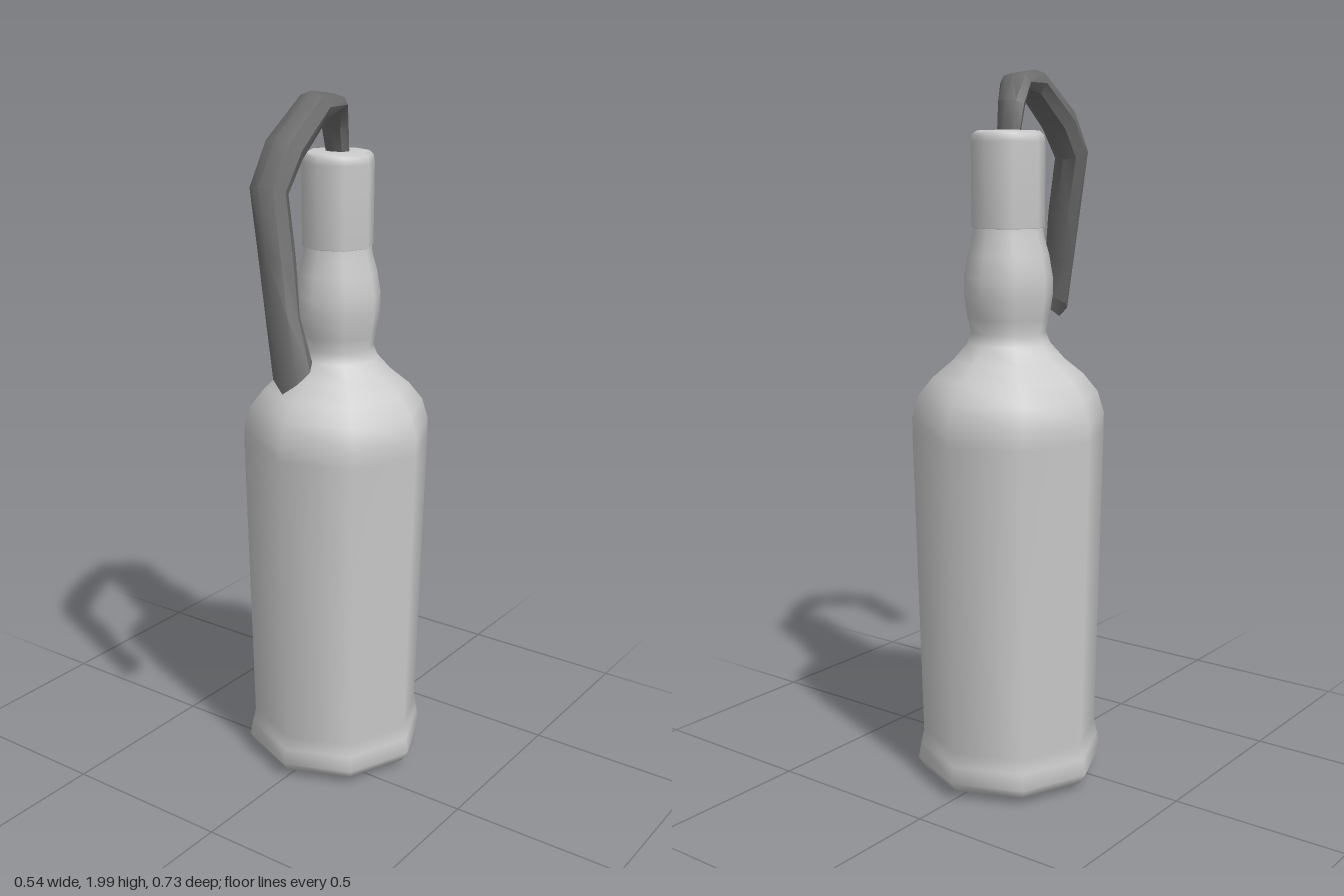
import * as THREE from 'three';
import { toCreasedNormals } from 'three/addons/utils/BufferGeometryUtils.js';

const SIDES = 8;
const AXIS_Z = -0.1;

function lathe(name, profile, material) {
  const points = profile.map(([r, y]) => new THREE.Vector2(r, y));
  const mesh = new THREE.Mesh(new THREE.LatheGeometry(points, SIDES), material);
  mesh.name = name;
  mesh.position.z = AXIS_Z;
  return mesh;
}

// Open tube of flattened rings: each row is [x, y, z, half width, half thickness]
function ragGeometry(rows, tear) {
  const positions = [], index = [];
  const n = tear.length;
  rows.forEach(([x, y, z, w, t], j) => {
    const a = rows[Math.max(j - 1, 0)], b = rows[Math.min(j + 1, rows.length - 1)];
    const dy = b[1] - a[1], dz = b[2] - a[2], len = Math.hypot(dy, dz);
    for (let i = 0; i < n; i++) {
      const angle = (i / n) * Math.PI * 2;
      const s = Math.sin(angle) * t;
      const drop = j === rows.length - 1 ? tear[i] : 0;
      positions.push(x + Math.cos(angle) * w, y + (s * dz) / len - drop, z - (s * dy) / len);
      if (j < rows.length - 1) {
        const p = j * n + i, q = j * n + ((i + 1) % n);
        index.push(p, q, p + n, q, q + n, p + n);
      }
    }
  });
  const geometry = new THREE.BufferGeometry();
  geometry.setAttribute('position', new THREE.Float32BufferAttribute(positions, 3));
  geometry.setIndex(index);
  return toCreasedNormals(geometry, 0.75);
}

export function createModel() {
  const group = new THREE.Group();
  group.name = 'bottleWithRag';
  const glass = new THREE.MeshStandardMaterial({ color: 0xcccccc });
  const cloth = new THREE.MeshStandardMaterial({ color: 0x6c6c6c, side: THREE.DoubleSide });

  // Body, shoulder and bulging neck
  group.add(lathe('bottleBody', [
    [0.2, 0.005], [0.245, 0.025], [0.265, 0.055], [0.257, 0.1], [0.248, 0.14],
    [0.268, 1.0], [0.268, 1.05], [0.25, 1.11], [0.21, 1.16], [0.155, 1.205],
    [0.115, 1.25], [0.103, 1.28], [0.113, 1.32], [0.122, 1.38], [0.122, 1.43],
    [0.112, 1.49], [0.098, 1.54], [0.093, 1.58],
  ], glass));

  // Flat underside
  const base = new THREE.Mesh(new THREE.CircleGeometry(0.2, SIDES), glass);
  base.name = 'bottleBase';
  base.rotation.x = Math.PI / 2;
  base.position.set(0, 0.005, AXIS_Z);
  group.add(base);

  // Collar around the mouth
  group.add(lathe('collar', [
    [0.09, 1.56], [0.1, 1.565], [0.101, 1.79], [0.097, 1.81], [0.085, 1.82], [0, 1.82],
  ], glass));

  // Rag hanging from the mouth, with a torn end
  const rag = new THREE.Mesh(ragGeometry([
    [0.0, 1.8, -0.1, 0.035, 0.025],
    [0.0, 1.89, -0.085, 0.042, 0.03],
    [0.02, 1.948, -0.04, 0.052, 0.027],
    [0.055, 1.952, 0.085, 0.05, 0.042],
    [0.053, 1.855, 0.21, 0.055, 0.048],
    [0.05, 1.76, 0.27, 0.052, 0.046],
    [0.085, 1.6, 0.285, 0.05, 0.045],
    [0.118, 1.46, 0.308, 0.05, 0.036],
    [0.158, 1.33, 0.32, 0.054, 0.044],
  ], [0, 0.03, 0.06, 0.03, 0.01, -0.01, 0.015, -0.02]), cloth);
  rag.name = 'rag';
  group.add(rag);

  return group;
}
